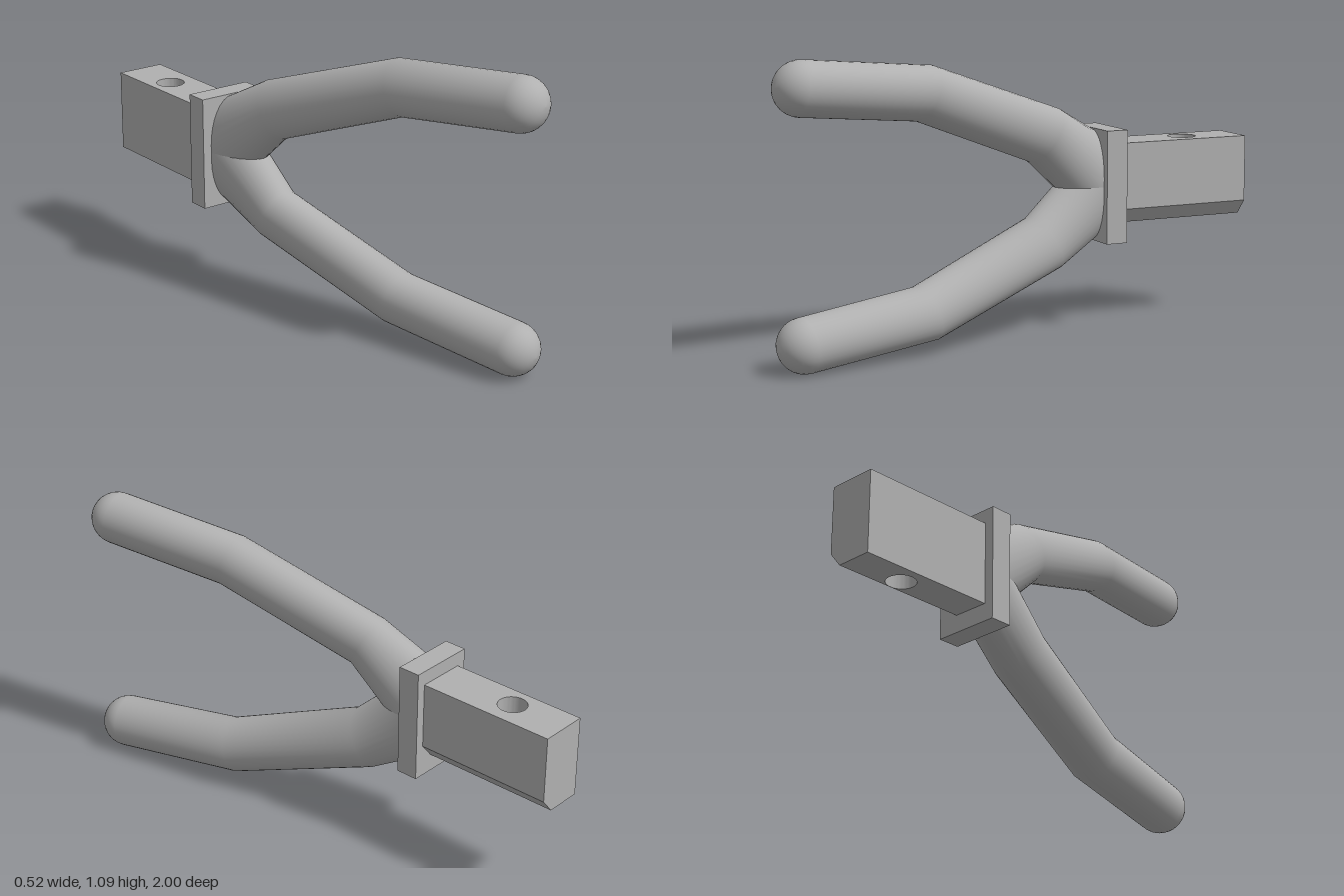
import * as THREE from 'three';
import { toCreasedNormals } from 'three/addons/utils/BufferGeometryUtils.js';

const MID_Y = 0.55; // the two prongs mirror about this height
const SIDES = 32;

// Prong cross-sections from plate to tip: centre, sideways half axis, upright half axis
const SECTIONS = [
  { c: [-0.128, 0.025, -0.375], u: [0.1, 0, 0], v: [0, 0.185, 0] },
  { c: [-0.09, 0.205, -0.145], u: [0.093, 0, -0.022], v: [0, 0.1, -0.055] },
  { c: [0.05, 0.4, 0.4], u: [0.096, 0, -0.023], v: [0, 0.1, -0.03] },
  { c: [0.155, 0.448, 0.9], u: [0.098, 0, -0.02], v: [0, 0.0995, -0.01] },
];

function prongGeometry(side) {
  const vec = ([x, y, z]) => new THREE.Vector3(x, y * side, z);
  const rings = SECTIONS.map(s => ({ c: vec(s.c), u: vec(s.u), v: vec(s.v) }));

  // rounded tip as shrinking rings
  const tip = rings[3];
  const dir = tip.c.clone().sub(rings[2].c).normalize();
  for (let k = 1; k <= 8; k++) {
    const phi = (k / 8) * Math.PI / 2;
    rings.push({
      c: tip.c.clone().addScaledVector(dir, 0.1 * Math.sin(phi)),
      u: tip.u.clone().multiplyScalar(Math.cos(phi)),
      v: tip.v.clone().multiplyScalar(Math.cos(phi)),
    });
  }

  const positions = [], index = [];
  rings.forEach(({ c, u, v }, r) => {
    for (let j = 0; j < SIDES; j++) {
      const a = side * (j / SIDES) * Math.PI * 2;
      const p = c.clone().addScaledVector(u, Math.cos(a)).addScaledVector(v, Math.sin(a));
      positions.push(p.x, p.y + MID_Y, p.z);
      if (r === rings.length - 1) continue;
      const k = (j + 1) % SIDES;
      const A = r * SIDES + j, B = r * SIDES + k;
      index.push(A, B, B + SIDES, A, B + SIDES, A + SIDES);
    }
  });
  const geo = new THREE.BufferGeometry();
  geo.setAttribute('position', new THREE.Float32BufferAttribute(positions, 3));
  geo.setIndex(index);
  geo.computeVertexNormals();
  return geo;
}

// Slab of the shank with the pin hole; the +x bottom edge can be cut back by a chamfer
function shankSlab(y0, y1, chamfer) {
  const x0 = -0.225, x1 = -0.038;
  const shape = new THREE.Shape();
  shape.moveTo(x0, 0.458).lineTo(x1, 0.458).lineTo(x1, 1).lineTo(x0, 1).closePath();
  const hole = new THREE.Path();
  hole.absarc(-0.14, 0.772, 0.054, 0, Math.PI * 2, true);
  shape.holes.push(hole);
  const geo = new THREE.ExtrudeGeometry(shape, { depth: y1 - y0, bevelEnabled: false, curveSegments: 32 });
  geo.rotateX(-Math.PI / 2);
  const pos = geo.attributes.position;
  for (let i = 0; i < pos.count; i++) {
    if (pos.getY(i) < 0.001 && pos.getX(i) > x1 - 0.001) pos.setX(i, x1 - chamfer);
  }
  geo.translate(0, y0, 0);
  return toCreasedNormals(geo, 0.5);
}

export function createModel() {
  const model = new THREE.Group();
  model.name = 'forkedHook';
  const grey = new THREE.MeshStandardMaterial({ color: 0xb0b0b0 });
  grey.name = 'grey';

  const add = (name, geo) => {
    const mesh = new THREE.Mesh(geo, grey);
    mesh.name = name;
    model.add(mesh);
    return mesh;
  };

  // curved fork
  add('upperProng', prongGeometry(1));
  add('lowerProng', prongGeometry(-1));

  // collar plate
  add('collarPlate', new THREE.BoxGeometry(0.259, 0.433, 0.086)).position.set(-0.1325, MID_Y, -0.415);

  // shank with pin hole and one chamfered lower edge
  add('shankUpper', shankSlab(0.457, 0.712, 0));
  add('shankLower', shankSlab(0.4, 0.457, 0.047));

  return model;
}
